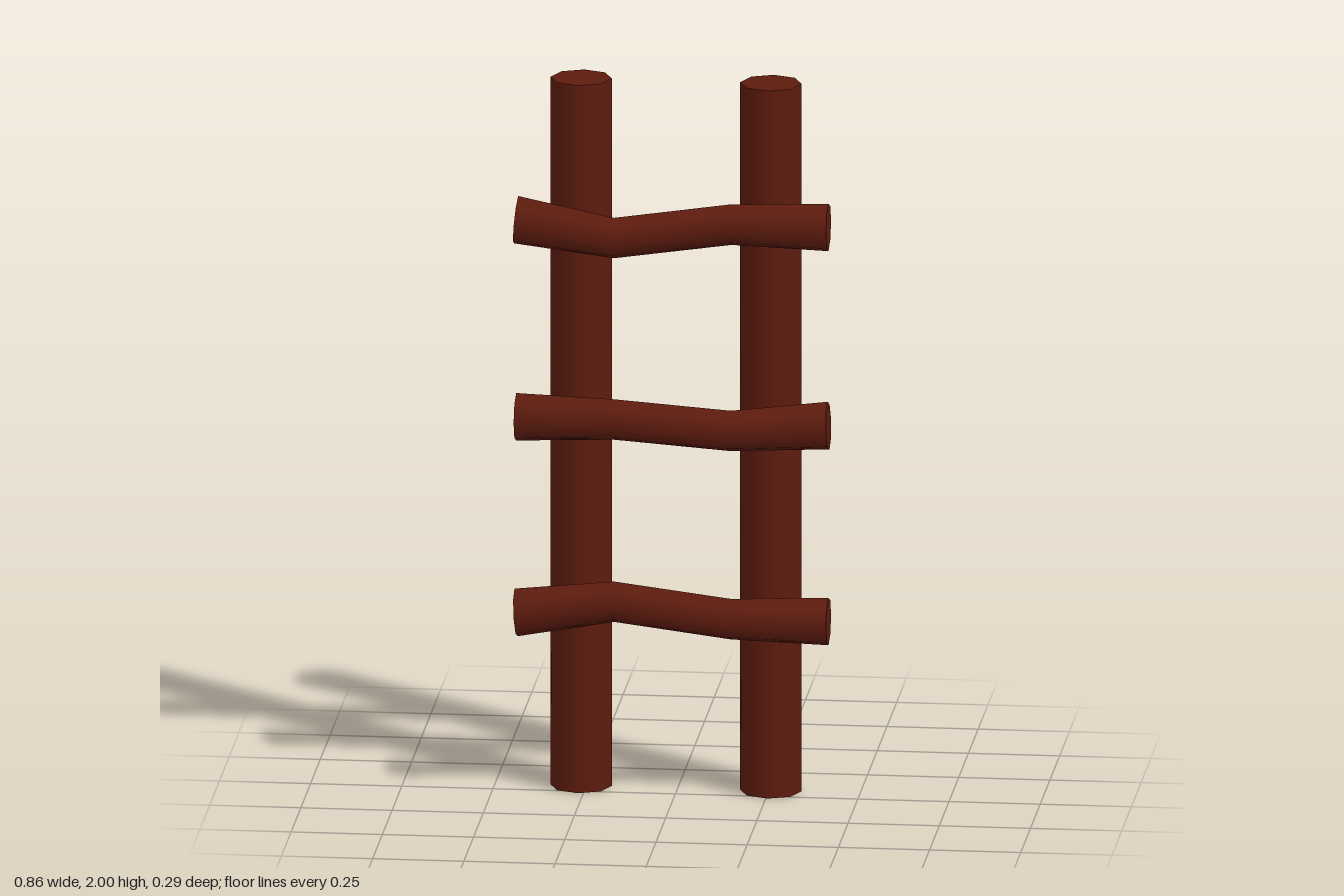
import * as THREE from 'three';

const wood = new THREE.MeshStandardMaterial({ color: 0x5e1c0f });

// Upright octagonal log
function makePost(x, name) {
  const post = new THREE.Mesh(new THREE.CylinderGeometry(0.084, 0.084, 2, 8), wood);
  post.position.set(x, 1, -0.063);
  post.name = name;
  return post;
}

// Crooked octagonal branch: four sections along x, thicker at the ends
function makeRung(heights, name) {
  const xs = [-0.428, -0.16, 0.16, 0.428];
  const radii = [0.067, 0.057, 0.057, 0.067];
  const geo = new THREE.CylinderGeometry(1, 1, 3, 8, 3);
  geo.rotateZ(-Math.PI / 2);
  const p = geo.attributes.position;
  for (let i = 0; i < p.count; i++) {
    const s = Math.round(p.getX(i) + 1.5);
    const a = Math.max(s - 1, 0), b = Math.min(s + 1, 3);
    // lean each section halfway towards the local slope
    const lean = 0.5 * (heights[b] - heights[a]) / (xs[b] - xs[a]);
    const dy = p.getY(i) * radii[s];
    p.setXYZ(i, xs[s] - dy * lean, heights[s] + dy, 0.078 + p.getZ(i) * radii[s]);
  }
  const rung = new THREE.Mesh(geo, wood);
  rung.name = name;
  return rung;
}

export function createModel() {
  const ladder = new THREE.Group();
  ladder.name = 'ladder';
  ladder.add(
    makePost(0.255, 'leftPost'),
    makePost(-0.265, 'rightPost'),
    makeRung([0.522, 0.56, 0.52, 0.521], 'bottomRung'),
    makeRung([1.075, 1.075, 1.052, 1.075], 'middleRung'),
    makeRung([1.632, 1.588, 1.635, 1.635], 'topRung')
  );
  return ladder;
}
